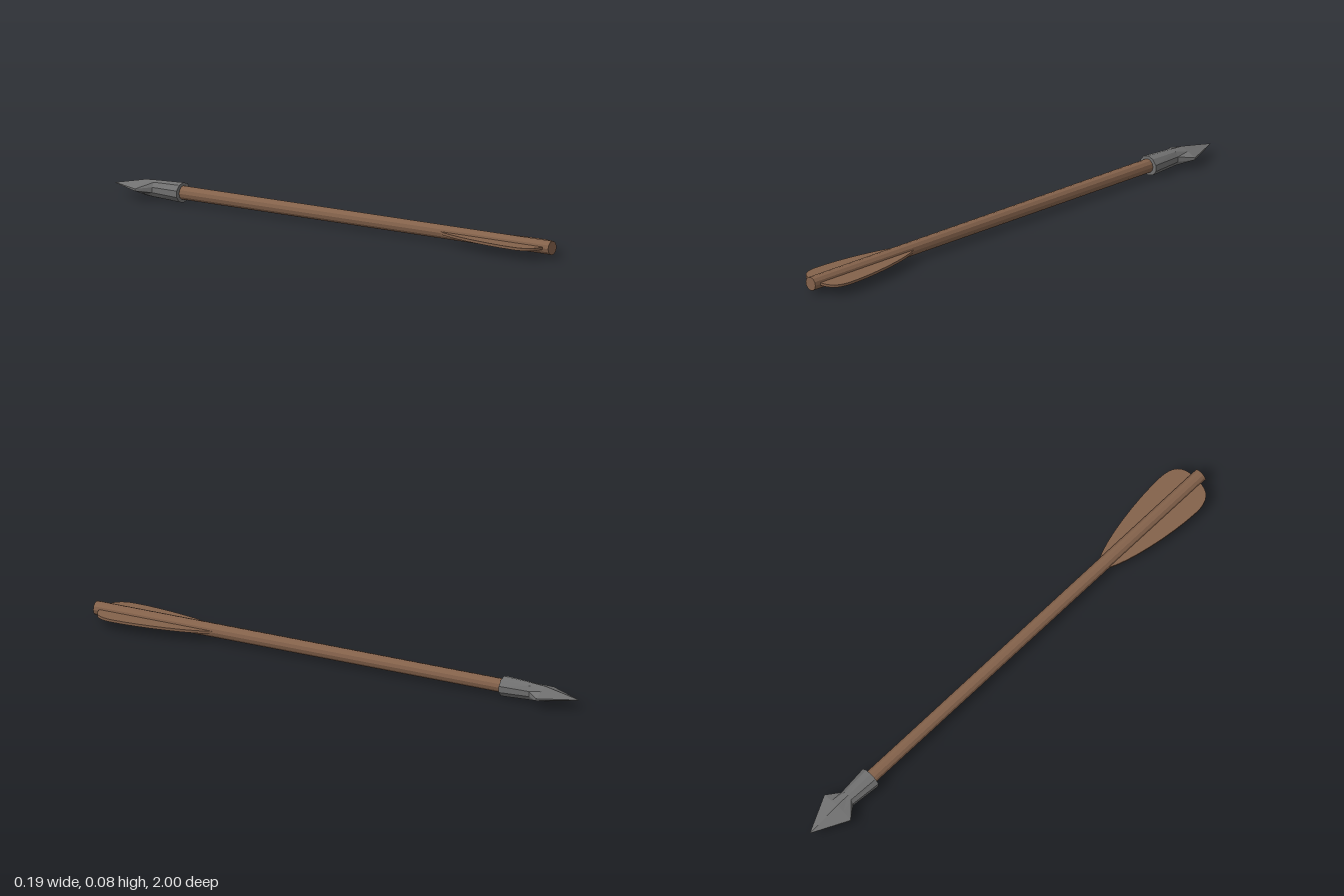
import * as THREE from 'three';

const AXIS_Y = 0.038;
const wood = new THREE.MeshStandardMaterial({ color: 0x84624b, flatShading: true });
wood.name = 'brownWood';
const steel = new THREE.MeshStandardMaterial({ color: 0x707070, flatShading: true });
steel.name = 'greySteel';

// Skin a row of ten-sided rings along z (listed from back to tip)
function loft(rings) {
  const pos = [], n = rings[0].pts.length;
  const at = (r, i) => [...rings[r].pts[i % n], rings[r].z];
  for (let r = 0; r < rings.length - 1; r++) {
    for (let i = 0; i < n; i++) {
      const a = at(r, i), b = at(r, i + 1), c = at(r + 1, i + 1), d = at(r + 1, i);
      pos.push(...a, ...c, ...b, ...a, ...d, ...c);
    }
  }
  // closing cap at the socket end
  for (let i = 0; i < n; i++) pos.push(0, 0, rings[0].z, ...at(0, i), ...at(0, i + 1));
  const g = new THREE.BufferGeometry();
  g.setAttribute('position', new THREE.Float32BufferAttribute(pos, 3));
  g.computeVertexNormals();
  return g;
}

// Ring from three quarter-profile points: top, shoulder, side; counter-clockwise
function ring(z, top, [sx, sy], [ex, ey]) {
  return { z, pts: [[0, top], [-sx, sy], [-ex, ey], [-ex, -ey], [-sx, -sy],
    [0, -top], [sx, -sy], [ex, -ey], [ex, ey], [sx, sy]] };
}

export function createModel() {
  const arrow = new THREE.Group();
  arrow.name = 'arrow';
  const add = (name, geometry, material) => {
    const mesh = new THREE.Mesh(geometry, material);
    mesh.name = name;
    mesh.position.y = AXIS_Y;
    arrow.add(mesh);
    return mesh;
  };

  // Shaft
  const shaft = new THREE.CylinderGeometry(0.026, 0.026, 1.72, 12);
  shaft.rotateX(Math.PI / 2).translate(0, 0, 0.14);
  add('shaft', shaft, wood);

  // Two flat vanes, mirrored about the shaft
  for (const s of [1, -1]) {
    const vane = new THREE.Shape();
    vane.moveTo(s * 0.015, 0.5);
    vane.lineTo(s * 0.024, 0.505);
    vane.bezierCurveTo(s * 0.06, 0.57, s * 0.095, 0.76, s * 0.095, 0.885);
    vane.bezierCurveTo(s * 0.095, 0.945, s * 0.07, 0.975, s * 0.015, 0.975);
    vane.closePath();
    const g = new THREE.ExtrudeGeometry(vane, { depth: 0.01, bevelEnabled: false, curveSegments: 8 });
    g.rotateX(Math.PI / 2).translate(0, 0.005, 0);
    add(s > 0 ? 'leftVane' : 'rightVane', g, wood);
  }

  // Socket, neck, barbs and point in one skin
  add('arrowhead', loft([
    ring(-0.69, 0.038, [0.025, 0.031], [0.041, 0.012]),
    ring(-0.81, 0.033, [0.019, 0.027], [0.031, 0.01]),
    ring(-0.86, 0.03, [0.03, 0.018], [0.069, 0.004]),
    ring(-1, 0.001, [0.001, 0.001], [0.001, 0.001]),
  ]), steel);

  return arrow;
}
